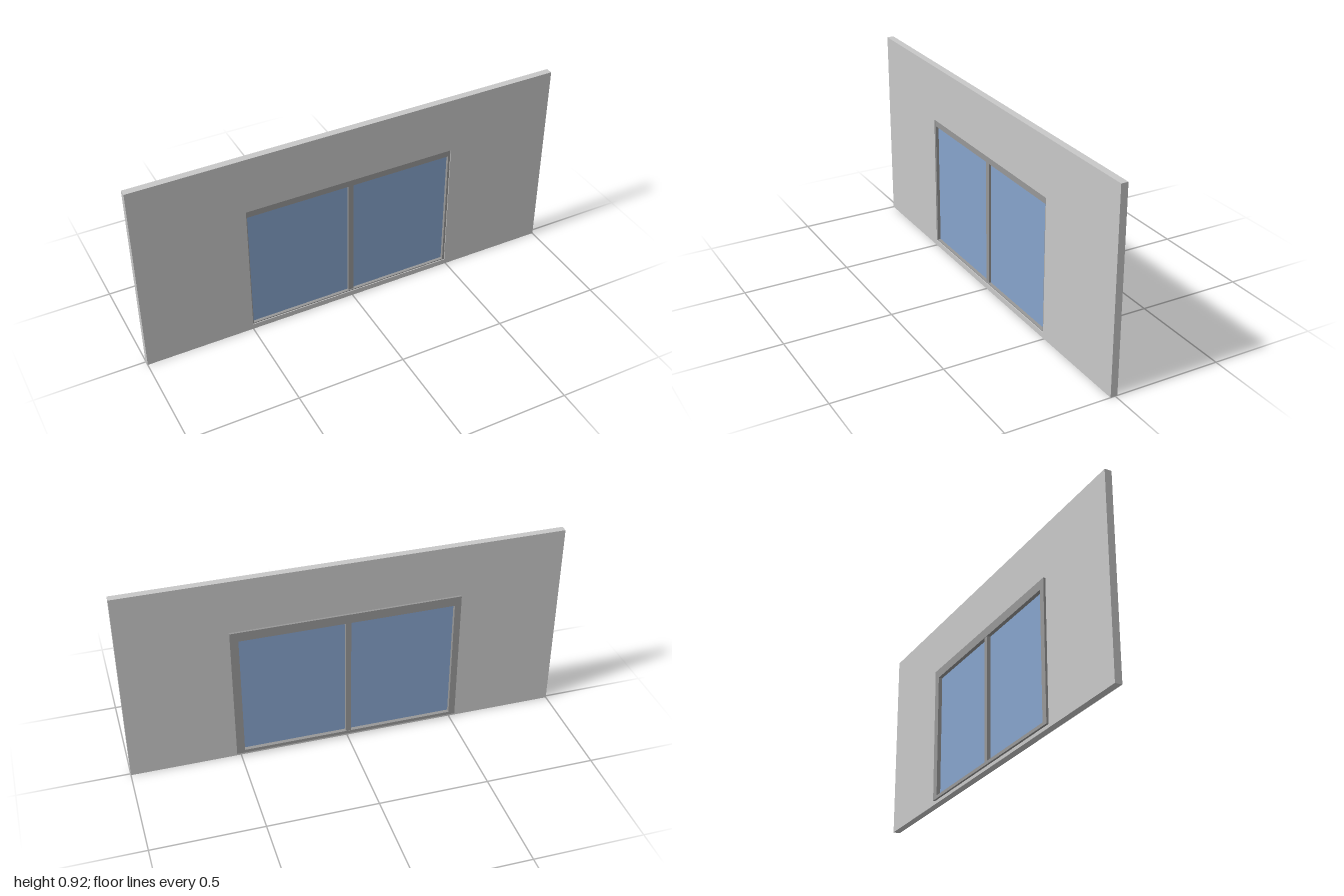
import * as THREE from 'three';

const wallMat = new THREE.MeshStandardMaterial({ name: 'wall grey', color: 0xc8c8c8 });
const frameMat = new THREE.MeshStandardMaterial({ name: 'frame grey', color: 0x989898 });
const glassMat = new THREE.MeshStandardMaterial({ name: 'glass blue', color: 0x86a3cb });

// Rectangles are [x0, y0, x1, y1]
const WALL = [-1, 0, 1, 0.92];
const HOLE = [-0.5, 0.026, 0.493, 0.657];
const TRIM = [-0.525, 0.016, 0.52, 0.669];
const OPENING = [-0.495, 0.031, 0.483, 0.625];
const MULLION = [-0.017, 0.008];

function trace(path, [x0, y0, x1, y1]) {
  path.moveTo(x0, y0);
  path.lineTo(x1, y0);
  path.lineTo(x1, y1);
  path.lineTo(x0, y1);
  path.closePath();
  return path;
}

// Rectangular slab with a rectangular hole, from z0 to z1
function ring(name, outer, inner, z0, z1, material) {
  const shape = trace(new THREE.Shape(), outer);
  shape.holes.push(trace(new THREE.Path(), inner));
  const geometry = new THREE.ExtrudeGeometry(shape, { depth: z1 - z0, bevelEnabled: false });
  geometry.translate(0, 0, z0);
  const mesh = new THREE.Mesh(geometry, material);
  mesh.name = name;
  return mesh;
}

function slab(name, [x0, y0, x1, y1], z0, z1, material) {
  const mesh = new THREE.Mesh(new THREE.BoxGeometry(x1 - x0, y1 - y0, z1 - z0), material);
  mesh.position.set((x0 + x1) / 2, (y0 + y1) / 2, (z0 + z1) / 2);
  mesh.name = name;
  return mesh;
}

export function createModel() {
  const model = new THREE.Group();
  model.name = 'wallWithWindow';

  model.add(ring('wall', WALL, HOLE, -0.01, 0.022, wallMat));

  // Window: lining through the wall, flat trim on the back, mullion and panes
  const win = new THREE.Group();
  win.name = 'window';
  const [x0, y0, x1, y1] = OPENING;
  win.add(ring('frameLining', HOLE, OPENING, -0.01, 0.018, frameMat));
  win.add(ring('backTrim', TRIM, OPENING, -0.02, -0.01, frameMat));
  win.add(slab('mullion', [MULLION[0], y0, MULLION[1], y1], -0.018, 0.014, frameMat));
  win.add(slab('rightPane', [x0, y0, MULLION[0], y1], -0.002, 0.004, glassMat));
  win.add(slab('leftPane', [MULLION[1], y0, x1, y1], -0.002, 0.004, glassMat));
  model.add(win);

  return model;
}
